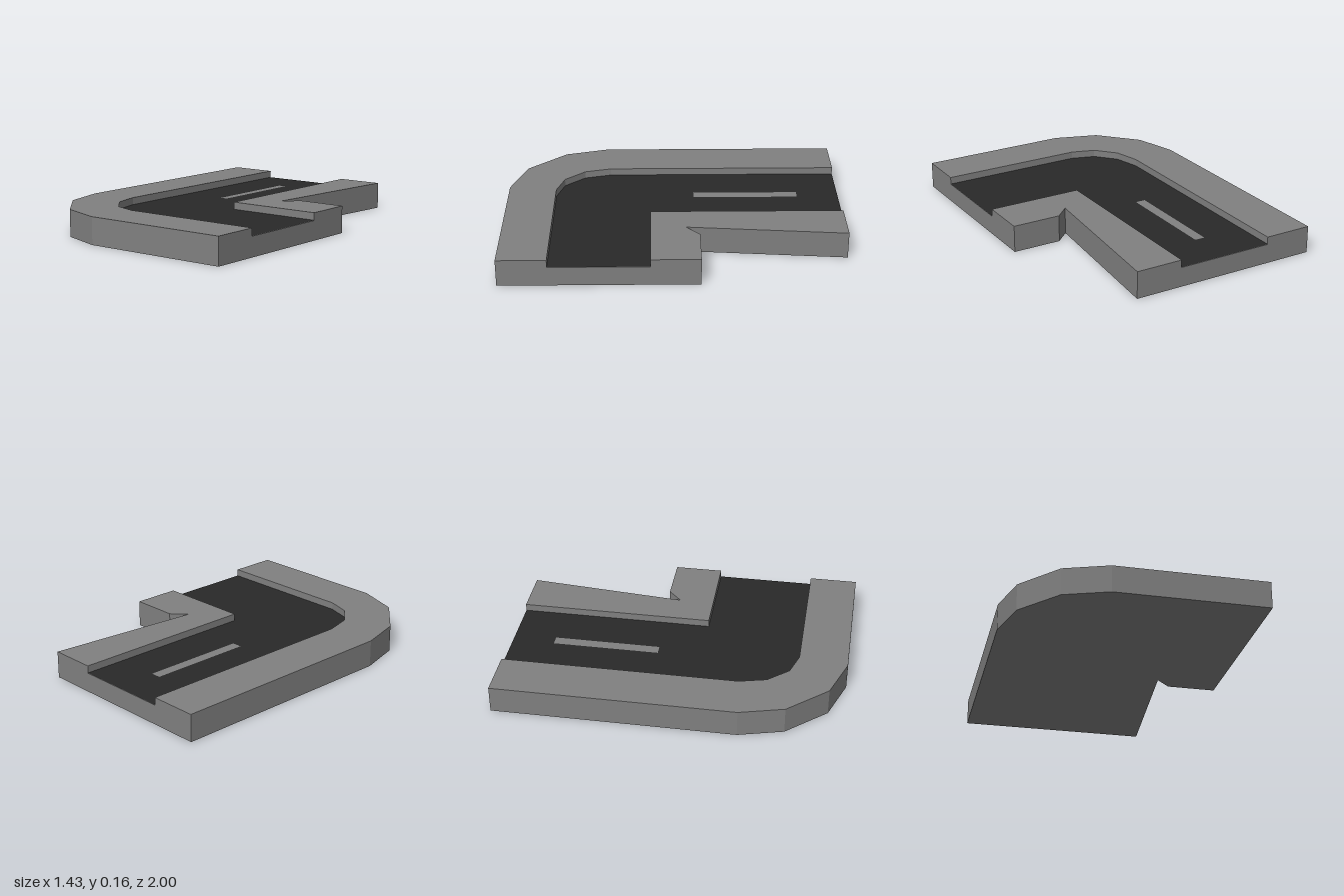
import * as THREE from 'three';

const BASE_TOP = 0.115, ROAD_Y = 0.117, MARK_Y = 0.119, CURB_TOP = 0.16;

// Plan outlines as [x, z] points
const outerEdge = [[-0.715, -1], [-0.715, 0.42], [-0.645, 0.68], [-0.44, 0.91], [-0.18, 1], [0.715, 1]];
const innerEdge = [[0.715, -0.145], [0.425, -0.145], [0.34, -0.065], [0.425, -1]];
const roadOuter = [[-0.43, -1], [-0.43, 0.39], [-0.39, 0.55], [-0.285, 0.67], [-0.145, 0.715], [0.715, 0.715]];
const roadInner = [[0.715, 0.14], [0.145, 0.14], [0.145, -1]];
const marking = [[-0.175, -0.75], [-0.175, -0.12], [-0.115, -0.12], [-0.115, -0.75]];

export function createModel() {
  const group = new THREE.Group();
  const concrete = new THREE.MeshStandardMaterial({ color: 0x808080, flatShading: true });
  const asphalt = new THREE.MeshStandardMaterial({ color: 0x292929, flatShading: true });

  const plan = (points) => new THREE.Shape(points.map(([x, z]) => new THREE.Vector2(x, -z)));

  // Lay a plan geometry flat at height y
  const lay = (name, geometry, y, material) => {
    geometry.rotateX(-Math.PI / 2).translate(0, y, 0);
    const mesh = new THREE.Mesh(geometry, material);
    mesh.name = name;
    group.add(mesh);
  };
  const slab = (name, points, y0, y1) => lay(name,
    new THREE.ExtrudeGeometry(plan(points), { depth: y1 - y0, bevelEnabled: false }), y0, concrete);
  const sheet = (name, points, y, material) => lay(name, new THREE.ShapeGeometry(plan(points)), y, material);

  // Base under the whole corner piece
  slab('base', [...outerEdge, ...innerEdge], 0, BASE_TOP);

  // Raised pavements on both sides of the bend
  slab('outerPavement', [...outerEdge, ...[...roadOuter].reverse()], BASE_TOP, CURB_TOP);
  slab('innerPavement', [...innerEdge, ...[...roadInner].reverse()], BASE_TOP, CURB_TOP);

  // Road surface and lane marking
  sheet('road', [...roadOuter, ...roadInner], ROAD_Y, asphalt);
  sheet('laneMarking', marking, MARK_Y, concrete);

  return group;
}
